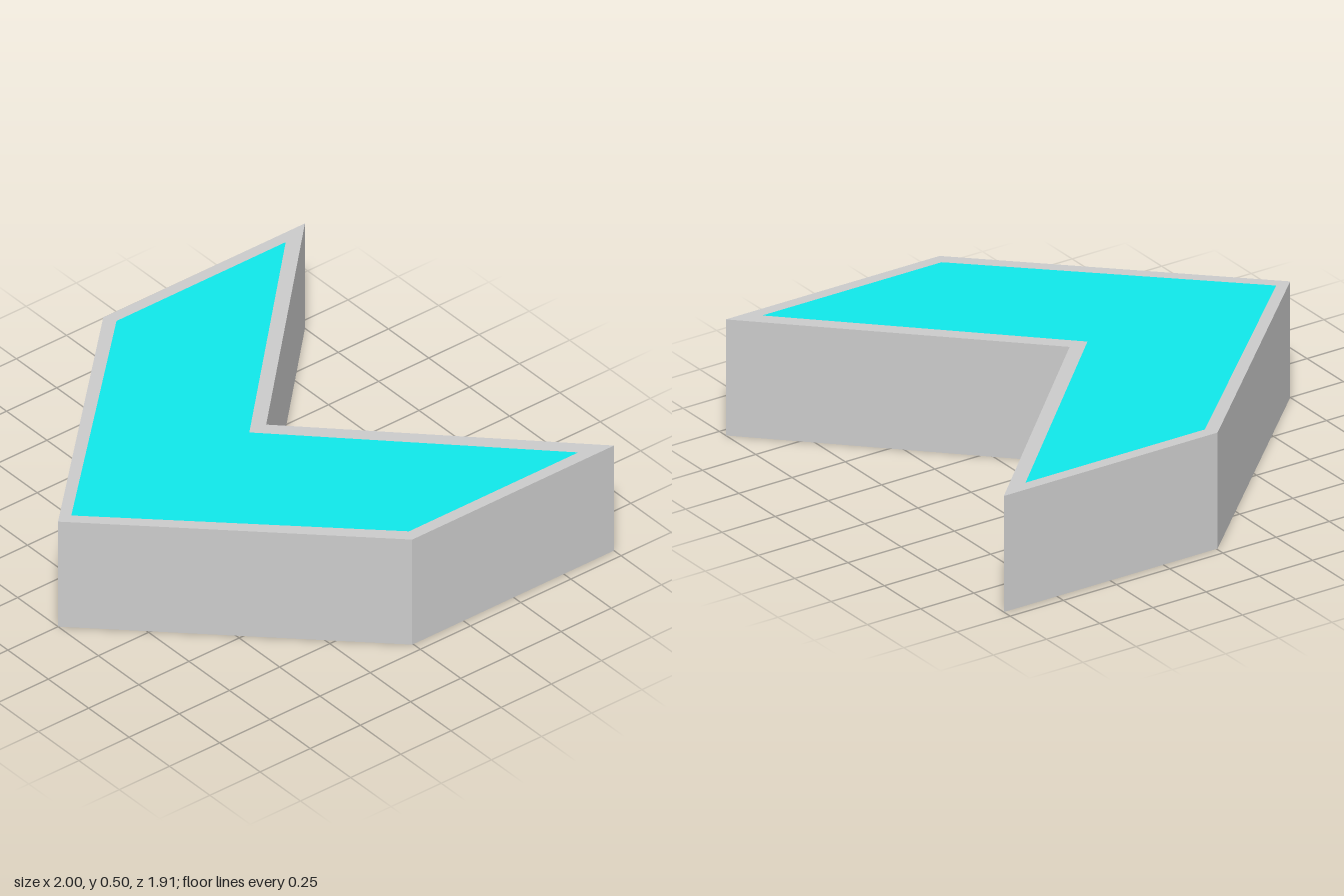
import * as THREE from 'three';

const HEIGHT = 0.5;

// Chevron outline pointing to -x, mirrored about z = 0
function chevron(tip, shoulder, halfWidth, end, notch) {
  return [
    [tip, 0], [shoulder, -halfWidth], [end, -halfWidth],
    [notch, 0], [end, halfWidth], [shoulder, halfWidth],
  ].map(([x, y]) => new THREE.Vector2(x, y));
}

// Upright prism standing on y = 0
function prism(name, shape, color) {
  const geometry = new THREE.ExtrudeGeometry(shape, { depth: HEIGHT, bevelEnabled: false });
  geometry.rotateX(-Math.PI / 2);
  const mesh = new THREE.Mesh(geometry, new THREE.MeshStandardMaterial({ color }));
  mesh.name = name;
  return mesh;
}

export function createModel() {
  const group = new THREE.Group();
  group.name = 'chevronBlock';

  const outer = chevron(-1, -0.005, 0.956, 1, 0.037);
  const inner = chevron(-0.934, 0.02, 0.905, 0.863, -0.047);

  // Border wall around the block
  const frameShape = new THREE.Shape(outer);
  frameShape.holes.push(new THREE.Path(inner));
  group.add(prism('frame', frameShape, 0xcccccc));

  // Coloured core, flush with the border at top and bottom
  group.add(prism('core', new THREE.Shape(inner), 0x10e8ea));

  return group;
}
